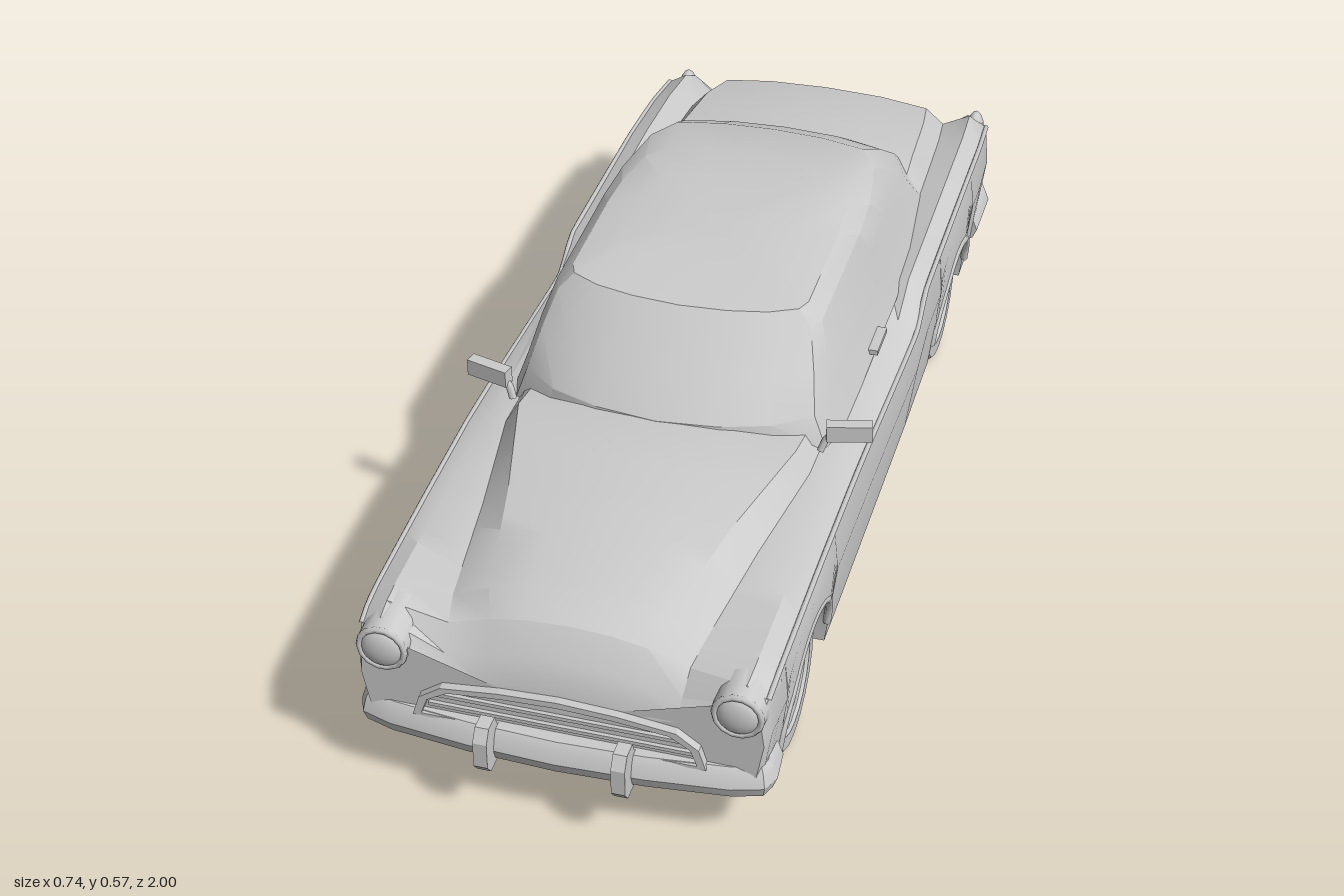
import * as THREE from 'three';
import { toCreasedNormals } from 'three/addons/utils/BufferGeometryUtils.js';

const grey = new THREE.MeshStandardMaterial({ color: 0xcccccc });
const V = (x, y, z) => new THREE.Vector3(x, y, z);

function part(parent, name, geo, x = 0, y = 0, z = 0) {
  const m = new THREE.Mesh(geo, grey);
  m.name = name;
  m.position.set(x, y, z);
  parent.add(m);
  return m;
}

// Skin a list of closed rings, cap both ends, and turn the faces outward.
function loft(rings, crease = 0.45) {
  const n = rings[0].length, pts = rings.flat(), idx = [];
  for (let i = 0; i < rings.length - 1; i++)
    for (let j = 0; j < n; j++) {
      const a = i * n + j, b = i * n + (j + 1) % n;
      idx.push(a, b, a + n, b, b + n, a + n);
    }
  [0, rings.length - 1].forEach((r, e) => {
    const c = pts.length;
    pts.push(rings[r].reduce((s, p) => s.add(p), V(0, 0, 0)).divideScalar(n));
    for (let j = 0; j < n; j++) {
      const a = r * n + j, b = r * n + (j + 1) % n;
      idx.push(...(e ? [a, b, c] : [b, a, c]));
    }
  });
  let vol = 0;
  for (let i = 0; i < idx.length; i += 3)
    vol += pts[idx[i]].dot(V(0, 0, 0).crossVectors(pts[idx[i + 1]], pts[idx[i + 2]]));
  if (vol < 0) idx.reverse();
  const g = new THREE.BufferGeometry().setFromPoints(pts);
  g.setIndex(idx);
  return toCreasedNormals(g, crease);
}

// Complete a half ring (first and last point on x = 0) with its mirror image.
const mirrorRing = half => [...half, ...half.slice(1, -1).reverse().map(p => V(-p.x, p.y, p.z))];

// Body stations: z, centre height, hood half-width, valley height, fender height, belt height, belt half-width
const STATIONS = [
  [0.935, 0.265, 0.13, 0.25, 0.315, 0.29, 0.335],
  [0.915, 0.312, 0.13, 0.285, 0.338, 0.315, 0.343],
  [0.88, 0.36, 0.135, 0.32, 0.343, 0.325, 0.345],
  [0.83, 0.382, 0.15, 0.335, 0.346, 0.33, 0.346],
  [0.60, 0.40, 0.195, 0.343, 0.346, 0.335, 0.347],
  [0.38, 0.41, 0.25, 0.35, 0.348, 0.335, 0.348],
  [0.25, 0.38, 0.25, 0.345, 0.343, 0.328, 0.348],
  [-0.14, 0.37, 0.25, 0.335, 0.322, 0.298, 0.348],
  [-0.23, 0.37, 0.25, 0.345, 0.357, 0.343, 0.347],
  [-0.60, 0.405, 0.235, 0.345, 0.358, 0.342, 0.344],
  [-0.75, 0.388, 0.225, 0.335, 0.352, 0.333, 0.341],
  [-0.85, 0.362, 0.21, 0.315, 0.343, 0.322, 0.335],
  [-0.89, 0.315, 0.205, 0.28, 0.32, 0.30, 0.325],
  [-0.915, 0.235, 0.20, 0.22, 0.23, 0.22, 0.31]
];
const ARCHES = [{ z: 0.66, a: 0.165, b: 0.135 }, { z: -0.505, a: 0.155, b: 0.112 }];

function station(z) {
  let i = 0;
  while (i < STATIONS.length - 2 && z < STATIONS[i + 1][0]) i++;
  const p = STATIONS[i], q = STATIONS[i + 1], t = (p[0] - z) / (p[0] - q[0]);
  return p.map((v, k) => v + (q[k] - v) * t);
}

// Cross-section of the body; wheel wells lift its lower side edge
function bodyRing(z) {
  const [, yc, xh, yv, yf, yb, xb] = station(z);
  const floor = 0.08 + 0.3 * Math.max(0, Math.abs(z) - 0.8);
  let ys = floor;
  for (const w of ARCHES) {
    const d = (z - w.z) / w.a;
    if (Math.abs(d) <= 1) ys = 0.125 + w.b * Math.sqrt(1 - d * d);
  }
  const xf = xb - 0.035, xm = xb + 0.007;
  const xs = xm - 0.02 * (1 - Math.min(1, (ys - floor) / 0.14));
  const half = [[0, yc], [xh * 0.55, yc - 0.004], [xh, yc - 0.016], [xh + 0.4 * (xf - xh), yv], [xf, yf],
    [xb, yb], [xm, yb - 0.35 * (yb - ys)], [xs, ys], [0.22, ys], [0.22, floor], [0, floor]];
  return mirrorRing(half.map(([x, y]) => V(x, y, z)));
}

function bodyGeometry() {
  const zs = STATIONS.map(s => s[0]);
  for (const w of ARCHES) {
    zs.push(w.z + w.a + 0.001, w.z - w.a - 0.001);
    for (let i = 0; i <= 14; i++) zs.push(w.z + w.a * 0.9999 * Math.cos(Math.PI * i / 14));
  }
  return loft(zs.sort((a, b) => b - a).map(bodyRing));
}

// Cabin: stacked plan outlines with a curved windscreen and a long sloping rear window
function cabinGeometry() {
  // height, front z, rear z, half-width
  const levels = [[0.34, 0.395, -0.66, 0.30], [0.41, 0.385, -0.60, 0.275], [0.47, 0.325, -0.51, 0.26],
    [0.525, 0.265, -0.41, 0.242], [0.553, 0.235, -0.27, 0.215], [0.566, 0.13, -0.16, 0.15], [0.57, 0.05, -0.05, 0.06]];
  // share of half-width, share of length behind the windscreen
  const plan = [[0, 0], [0.4, 0.013], [0.72, 0.042], [0.95, 0.09], [1, 0.14], [1, 0.55],
    [0.98, 0.7], [0.9, 0.88], [0.75, 0.965], [0.4, 0.992], [0, 1]];
  return loft(levels.map(([y, f, r, w]) => mirrorRing(plan.map(([u, v]) => V(u * w, y, f + (r - f) * v)))));
}

// Wrap-around bumper: a section swept along a plan path; dir -1 places it at the rear
function bumperGeometry(half, y0, y1, dir) {
  const path = [...half, ...half.slice(0, -1).reverse().map(([x, z]) => [-x, z])];
  const section = [[-0.04, 1], [-0.008, 1], [0, 0.85], [0.008, 0.5], [0, 0.2], [-0.018, 0], [-0.04, 0]];
  return loft(path.map(([x, z], i) => {
    const a = path[Math.max(0, i - 1)], b = path[Math.min(path.length - 1, i + 1)];
    const tx = b[0] - a[0], tz = b[1] - a[1], l = Math.hypot(tx, tz);
    return section.map(([d, t]) => V(x + d * tz / l, y0 + (y1 - y0) * t, dir * (z - d * tx / l)));
  }));
}

const tube = (pts, r, seg = 40) =>
  new THREE.TubeGeometry(new THREE.CatmullRomCurve3(pts, false, 'catmullrom', 0.2), seg, r, 6);

function wheel(parent, name, side, z) {
  const g = new THREE.Group();
  g.name = name;
  g.position.set(side * 0.275, 0.134, z);
  g.rotation.z = -side * Math.PI / 2; // local +y points outward
  parent.add(g);
  const profile = [[0, -0.05], [0.128, -0.05], [0.134, -0.042], [0.134, 0.036], [0.124, 0.05],
    [0.1, 0.05], [0.098, 0.044], [0.086, 0.042], [0.08, 0.01], [0, 0.01]].map(p => new THREE.Vector2(...p));
  part(g, 'tyreAndRim', toCreasedNormals(new THREE.LatheGeometry(profile, 20), 0.5));
  part(g, 'hub', new THREE.CylinderGeometry(0.016, 0.022, 0.03, 12), 0, 0.025, 0);
  for (let i = 0; i < 6; i++) {
    const a = i * Math.PI / 3;
    part(g, 'spoke', new THREE.BoxGeometry(0.075, 0.014, 0.016), 0.05 * Math.cos(a), 0.028, -0.05 * Math.sin(a)).rotation.y = a;
  }
}

// Arched grille outline; inset k shrinks it for the opening
function grilleOutline(S, k) {
  const half = [[0.25, 0], [0.238, 0.04], [0.2, 0.068], [0.1, 0.08], [0, 0.085]];
  const all = [...half, ...half.slice(0, -1).reverse().map(([x, y]) => [-x, y])];
  return new S(all.map(([x, y]) => new THREE.Vector2(x * (1 - k), 0.17 + 0.1 * k + y * (1 - 3.5 * k))));
}

export function createModel() {
  const car = new THREE.Group();
  car.name = 'car';
  part(car, 'body', bodyGeometry());
  part(car, 'cabin', cabinGeometry());

  // Grille and bumpers
  const frame = grilleOutline(THREE.Shape, 0);
  frame.holes.push(grilleOutline(THREE.Path, 0.06));
  part(car, 'grilleFrame', new THREE.ExtrudeGeometry(frame, { depth: 0.02, bevelEnabled: false }), 0, 0, 0.93);
  for (const y of [0.192, 0.214]) part(car, 'grilleBar', new THREE.BoxGeometry(0.45, 0.007, 0.014), 0, y, 0.935);
  part(car, 'frontBumper', bumperGeometry(
    [[0.345, 0.85], [0.35, 0.905], [0.34, 0.93], [0.29, 0.945], [0.15, 0.96], [0, 0.966]], 0.105, 0.177, 1));
  part(car, 'rearBumper', bumperGeometry(
    [[0.338, 0.75], [0.338, 0.87], [0.32, 0.91], [0.28, 0.93], [0.15, 0.948], [0, 0.953]], 0.105, 0.167, -1));

  const guard = new THREE.Shape([[0.92, 0.11], [0.985, 0.11], [1, 0.13], [1, 0.18], [0.985, 0.203], [0.955, 0.203],
    [0.945, 0.18], [0.92, 0.17]].map(p => new THREE.Vector2(...p)));
  const guardGeo = new THREE.ExtrudeGeometry(guard, { depth: 0.024, bevelEnabled: false })
    .translate(0, 0, -0.012).rotateY(-Math.PI / 2);

  for (const s of [1, -1]) {
    const name = n => (s > 0 ? 'left' : 'right') + n;
    part(car, name('FrontGuard'), guardGeo, s * 0.117, 0, 0);
    part(car, name('RearGuard'), guardGeo, s * 0.117, 0, 0).rotation.y = Math.PI;
    wheel(car, name('FrontWheel'), s, 0.66);
    wheel(car, name('RearWheel'), s, -0.505);

    // Belt trim and wheel arch lips follow the body side
    part(car, name('BeltTrim'), tube(STATIONS.slice(1, -2).map(r => V(s * r[6], r[5], r[0])), 0.005, 60));
    for (const w of ARCHES) {
      const pts = [];
      for (let i = 0; i <= 12; i++) {
        const a = Math.PI * i / 12, y = 0.125 + w.b * Math.sin(a);
        pts.push(V(s * (0.333 + 0.017 * Math.min(1, (y - 0.08) / 0.14)), y, w.z + w.a * Math.cos(a)));
      }
      part(car, name('ArchLip'), tube(pts, 0.007));
    }

    // Headlights and tail lights
    part(car, name('HeadlightPod'), new THREE.CylinderGeometry(0.044, 0.05, 0.09, 14).rotateX(Math.PI / 2), s * 0.3, 0.293, 0.895);
    part(car, name('HeadlightRim'), new THREE.TorusGeometry(0.039, 0.006, 6, 14), s * 0.3, 0.293, 0.94);
    part(car, name('HeadlightLens'), new THREE.SphereGeometry(0.037, 14, 10), s * 0.3, 0.293, 0.938).scale.z = 0.4;
    part(car, name('TailLight'), new THREE.SphereGeometry(1, 12, 8), s * 0.306, 0.29, -0.885).scale.set(0.018, 0.042, 0.03);

    // Mirrors, door handles and exhausts
    part(car, name('Mirror'), new THREE.BoxGeometry(0.08, 0.032, 0.022), s * 0.327, 0.4, 0.31).rotation.y = s * 0.25;
    part(car, name('MirrorStalk'), tube([V(s * 0.28, 0.36, 0.325), V(s * 0.287, 0.38, 0.32), V(s * 0.3, 0.395, 0.316)], 0.007, 6));
    part(car, name('DoorHandle'), new THREE.BoxGeometry(0.024, 0.01, 0.075), s * 0.298, 0.357, -0.02);
    part(car, name('Exhaust'), new THREE.CylinderGeometry(0.022, 0.022, 0.14, 12), s * 0.155, 0.088, -0.825)
      .rotation.x = -Math.PI / 2 - 0.2;
  }
  return car;
}
